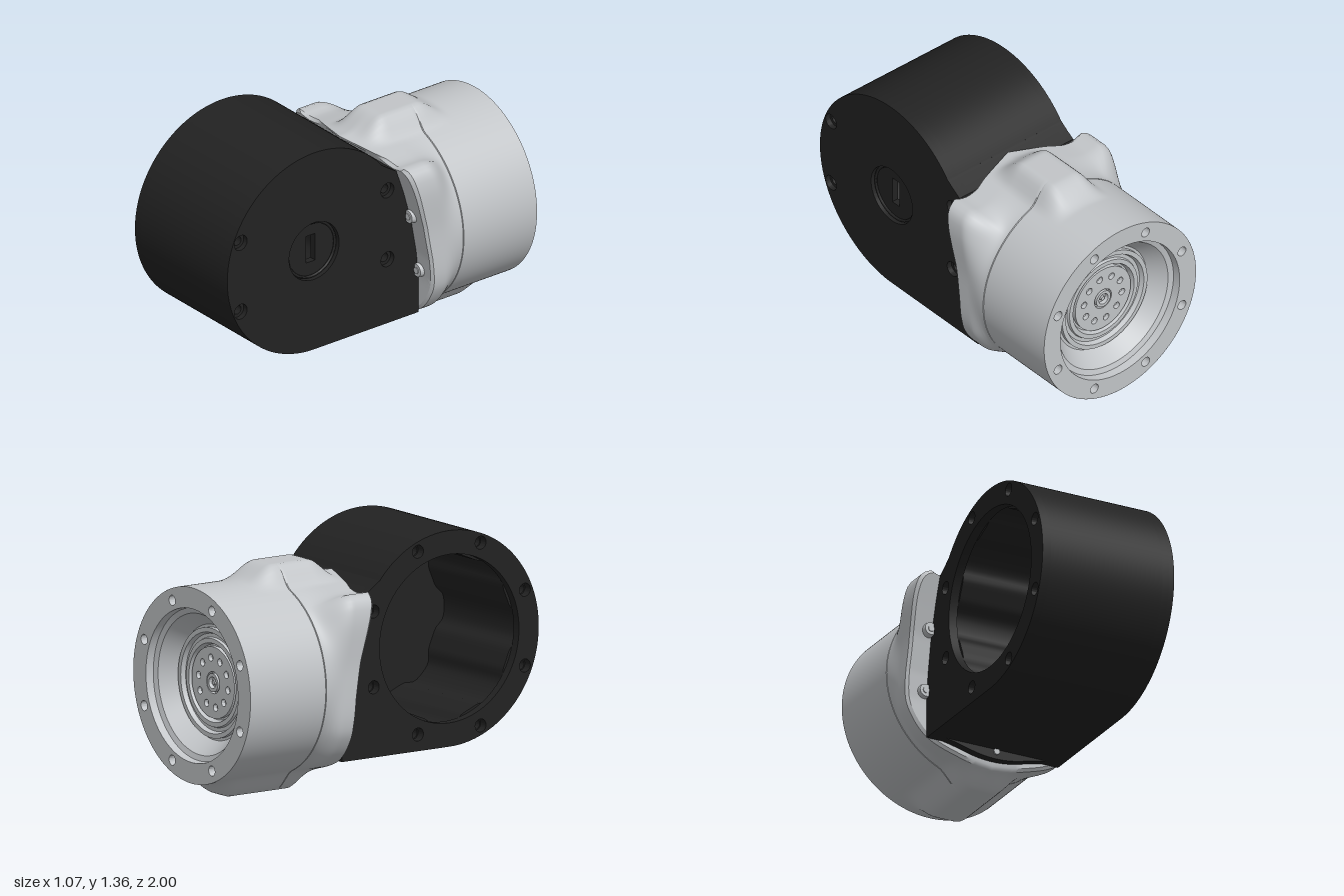
import * as THREE from 'three';
import { toCreasedNormals } from 'three/addons/utils/BufferGeometryUtils.js';

const { smoothstep, lerp } = THREE.MathUtils;
const CY = 0.62;                    // height of the motor axis
const HU = -0.41, HY = 0.775;       // centre of the round housing (u = -z)
const N = 160;

const black = new THREE.MeshStandardMaterial({ color: 0x222222 });
black.name = 'matte black';
const grey = new THREE.MeshStandardMaterial({ color: 0xc2c5c8, side: THREE.DoubleSide });
grey.name = 'light grey';

function add(parent, name, geo, mat, crease = 0.5) {
  const m = new THREE.Mesh(toCreasedNormals(geo, crease), mat);
  m.name = name;
  parent.add(m);
  return m;
}

function circle(x, y, r) {
  return new THREE.Path().absarc(x, y, r, 0, Math.PI * 2, true);
}

// Piecewise linear lookup in [key, value] pairs sorted by key
function lookup(table, k) {
  let i = 1;
  while (i < table.length - 1 && table[i][0] < k) i++;
  const [a, b] = [table[i - 1], table[i]];
  return lerp(a[1], b[1], Math.min(1, Math.max(0, (k - a[0]) / (b[0] - a[0]))));
}

// Skin over rings of equal length, optionally closed at the last ring
function loft(rings) {
  const pos = rings.flat(2), idx = [];
  for (let r = 0; r < rings.length - 1; r++) for (let i = 0; i < N; i++) {
    const a = r * N + i, b = r * N + (i + 1) % N;
    idx.push(a, a + N, b, b, a + N, b + N);
  }
  const g = new THREE.BufferGeometry();
  g.setAttribute('position', new THREE.Float32BufferAttribute(pos, 3));
  g.setIndex(idx);
  return g;
}

// Front outline of the mount (half, top to bottom, relative to the axis) as angle -> radius
const half = [[0, 0.53], [0.2, 0.5], [0.38, 0.47], [0.45, 0.485], [0.5, 0.455], [0.525, 0.37], [0.523, 0.1],
  [0.525, -0.2], [0.5, -0.29], [0.4, -0.42], [0.2, -0.5], [0, -0.53]];
const outline = new THREE.CatmullRomCurve3(half.map(p => new THREE.Vector3(p[0], p[1], 0)), false, 'centripetal')
  .getPoints(240).map(p => [Math.atan2(Math.abs(p.x), p.y), Math.hypot(p.x, p.y)]);
// Depth of the mount's front face by height
const faceZ = [[0, -0.3], [0.4, -0.3], [0.55, -0.285], [0.75, -0.25], [0.93, -0.2], [1.1, -0.15], [1.16, -0.03]];

// Smooth humps on the top and underside
function hump(x, y, z, up) {
  const ax = Math.abs(x);
  const w = up
    ? smoothstep(z, -0.72, -0.53) * (1 - smoothstep(z, -0.3, -0.12)) * (1 - smoothstep(ax, 0.08, 0.2))
    : smoothstep(z, -0.97, -0.8) * (1 - smoothstep(z, -0.43, -0.29)) * (1 - smoothstep(ax, 0.06, 0.22));
  return lerp(y, up ? 1.24 : 0.002, w);
}

function ring(zOf, radiusOf, scale) {
  return Array.from({ length: N }, (_, i) => {
    const t = i / N * Math.PI * 2, r = radiusOf(t > Math.PI ? Math.PI * 2 - t : t) * scale;
    const x = Math.sin(t) * r, y = CY + Math.cos(t) * r, z = zOf(y);
    return [x, scale > 0.95 ? hump(x, y, z, Math.cos(t) > 0) : y, z];
  });
}

function motorShell() {
  const rings = [];
  for (let i = 0; i <= 40; i++) rings.push(ring(() => -1 + i * 0.4965 / 40, () => 0.535, 1));
  rings.push(ring(() => -0.5, () => 0.535, 0.985));
  return loft(rings);
}

function mountBody() {
  const rings = [ring(() => -0.5, () => 0.535, 0.985)];
  const front = a => lookup(outline, a);
  for (let i = 0; i <= 24; i++) {
    const u = 0.01 + 0.93 * i / 24, k = smoothstep(u, 0, 0.6);
    rings.push(ring(y => lerp(-0.5, lookup(faceZ, y), u), a => lerp(0.535, front(a), k), 1));
  }
  for (const s of [0.97, 0.9, 0.8, 0.6, 0.4, 0.2, 0.001]) rings.push(ring(y => lookup(faceZ, y), front, s));
  return loft(rings);
}

// Side profile of the housing: round drum with a foot that meets the mount
function housingShape() {
  const s = new THREE.Shape();
  s.moveTo(0.3, 0.185);
  s.lineTo(0.3, 0.4);
  s.splineThru([[0.285, 0.55], [0.25, 0.75], [0.2, 0.93], [0.148, 1.08]].map(p => new THREE.Vector2(...p)));
  s.lineTo(0.1, 1.11);
  s.lineTo(0.05, 1.145);
  s.absarc(HU, HY, 0.59, Math.atan2(0.37, 0.46), Math.PI * 1.5, false);
  s.closePath();
  return s;
}

function boltAt(k) {
  const a = Math.PI / 8 + k * Math.PI / 4;
  return [HU + 0.54 * Math.cos(a), HY + 0.54 * Math.sin(a)];
}

// Slice of the housing between two x positions
function slice(x0, x1, holes) {
  const s = housingShape();
  s.holes.push(...holes);
  const g = new THREE.ExtrudeGeometry(s, { depth: x1 - x0, bevelEnabled: false, curveSegments: 48 });
  return g.translate(0, 0, x0).rotateY(Math.PI / 2);
}

function buildHousing() {
  const g = new THREE.Group();
  g.name = 'housing';
  const all = [0, 1, 2, 3, 4, 5, 6, 7], through = [0, 3, 4, 7];
  const bolts = (list, r) => list.map(k => circle(...boltAt(k), r));
  // Cavity wall swells inward beside each bolt
  const cavity = new THREE.Path(Array.from({ length: 128 }, (_, i) => {
    const a = -i / 128 * Math.PI * 2, r = 0.47 + 0.025 * Math.tanh(2 * Math.cos(8 * a));
    return new THREE.Vector2(HU + r * Math.cos(a), HY + r * Math.sin(a));
  }));
  cavity.closePath();
  const slot = new THREE.Path([[-0.44, 0.7], [-0.44, 0.86], [-0.38, 0.86], [-0.38, 0.7]].map(p => new THREE.Vector2(...p)));
  slot.closePath();
  add(g, 'openRim', slice(-0.4, -0.35, [circle(HU, HY, 0.46), ...bolts(all, 0.036)]), black);
  add(g, 'drumWall', slice(-0.35, 0.33, [cavity, ...bolts(all, 0.03)]), black);
  add(g, 'endPlate', slice(0.33, 0.37, [slot, ...bolts(through, 0.026)]), black);
  add(g, 'endFace', slice(0.37, 0.4, [circle(HU, HY, 0.17), ...bolts(through, 0.044)]), black);
  const lip = new THREE.TorusGeometry(0.16, 0.008, 8, 64).rotateY(Math.PI / 2).translate(0.375, HY, 0.41);
  add(g, 'recessLip', lip, black, 1);
  // Curved tongue under the foot
  const t = new THREE.Shape();
  t.moveTo(-0.39, 0.195);
  t.bezierCurveTo(-0.2, 0.18, -0.15, 0.13, 0, 0.13);
  t.bezierCurveTo(0.15, 0.13, 0.2, 0.18, 0.39, 0.195);
  t.closePath();
  add(g, 'footTongue', new THREE.ExtrudeGeometry(t, { depth: 0.045, bevelEnabled: false, curveSegments: 24 })
    .translate(0, 0, -0.3), black);
  return g;
}

function ringPlate(outer, inner, holes, z, depth) {
  const s = new THREE.Shape().absarc(0, 0, outer, 0, Math.PI * 2, false);
  s.holes.push(circle(0, 0, inner), ...holes);
  return new THREE.ExtrudeGeometry(s, { depth, bevelEnabled: false, curveSegments: 40 }).translate(0, CY, z);
}

function around(n, r, size, offset) {
  return Array.from({ length: n }, (_, i) => {
    const a = offset + i / n * Math.PI * 2;
    return circle(r * Math.cos(a), r * Math.sin(a), size);
  });
}

// Turned part on the motor axis from [radius, distance back] pairs
function turned(profile) {
  return new THREE.LatheGeometry(profile.map(p => new THREE.Vector2(...p)), 96).rotateX(-Math.PI / 2).translate(0, CY, 0);
}

function buildMotor() {
  const g = new THREE.Group();
  g.name = 'motor';
  add(g, 'motorShell', motorShell(), grey);
  add(g, 'mountBody', mountBody(), grey, 0.6);
  add(g, 'rearFlange', ringPlate(0.535, 0.42, around(8, 0.472, 0.028, Math.PI / 8), -1, 0.08), grey);
  add(g, 'flangeHoleFloor', ringPlate(0.53, 0.42, [], -0.92, 0.01), grey);
  add(g, 'rearDish', turned([[0.42, 1], [0.415, 0.955], [0.385, 0.945], [0.315, 0.85], [0.3, 0.85], [0.3, 0.875],
    [0.275, 0.875], [0.265, 0.85], [0.245, 0.85], [0.24, 0.865], [0.215, 0.865], [0.205, 0.835], [0.001, 0.835]]), grey);
  add(g, 'outputDisc', ringPlate(0.195, 0.06, around(10, 0.135, 0.02, 0.15), -0.86, 0.024), grey);
  add(g, 'outputHub', turned([[0.05, 0.835], [0.05, 0.865], [0.032, 0.865], [0.028, 0.845], [0.014, 0.845],
    [0.012, 0.86], [0.001, 0.86]]), grey);
  // Screw bosses on both ears
  for (const side of [1, -1]) for (const [y, z] of [[0.79, -0.235], [0.45, -0.292]]) {
    const at = geo => geo.rotateX(Math.PI / 2).translate(side * 0.418, y, z);
    add(g, 'screwBoss', at(new THREE.CylinderGeometry(0.036, 0.042, 0.04, 24)), grey);
    add(g, 'screwHead', at(new THREE.CylinderGeometry(0.018, 0.018, 0.05, 20)), grey);
  }
  add(g, 'footScrew', new THREE.CylinderGeometry(0.018, 0.018, 0.012, 20).rotateX(Math.PI / 2).translate(0, 0.172, -0.252), grey);
  return g;
}

export function createModel() {
  const model = new THREE.Group();
  model.name = 'geared actuator';
  model.add(buildHousing(), buildMotor());
  return model;
}
